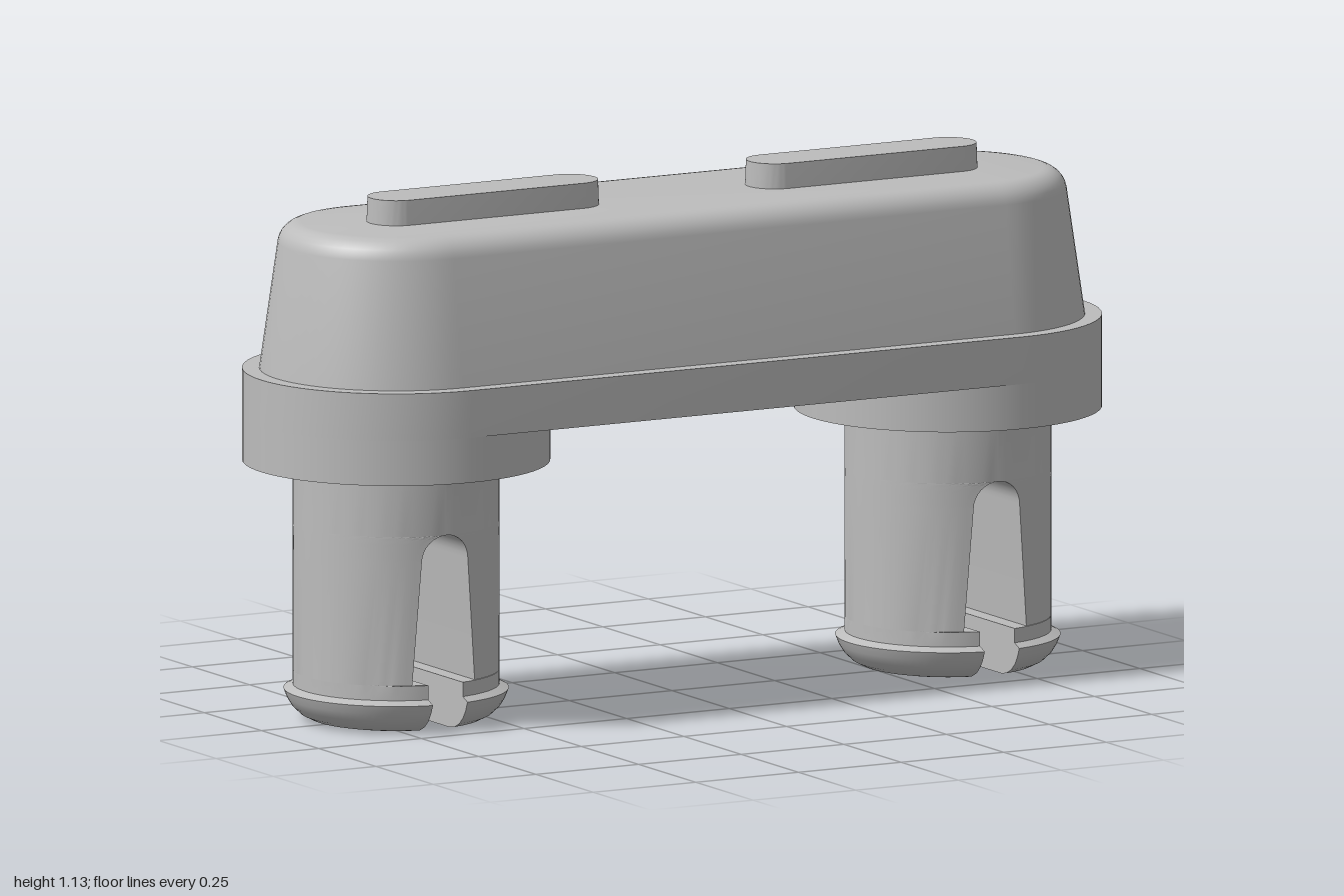
import * as THREE from 'three';
import { toCreasedNormals } from 'three/addons/utils/BufferGeometryUtils.js';

// Closed solid from convex rings of [x, y, z], bottom to top, counter-clockwise from above
function loft(rings) {
  const n = rings[0].length, index = [];
  for (let j = 0; j < rings.length - 1; j++) {
    for (let i = 0; i < n; i++) {
      const a = j * n + i, b = j * n + (i + 1) % n;
      index.push(a, b, b + n, a, b + n, a + n);
    }
  }
  const top = (rings.length - 1) * n;
  for (let i = 1; i < n - 1; i++) {
    index.push(0, i + 1, i, top, top + i, top + i + 1);
  }
  const g = new THREE.BufferGeometry();
  g.setAttribute('position', new THREE.Float32BufferAttribute(rings.flat(2), 3));
  g.setIndex(index);
  return toCreasedNormals(g, 0.55);
}

// Rounded-end bar outline: half length of the straight part, end radius, height
function stadium(half, r, y, seg = 32) {
  const ring = [];
  for (const side of [1, -1]) {
    for (let i = 0; i <= seg; i++) {
      const t = -Math.PI / 2 + Math.PI * i / seg;
      ring.push([side * (half + r * Math.cos(t)), y, -side * r * Math.sin(t)]);
    }
  }
  return ring;
}

// Circle of radius r cut off by a straight line at x = s
function cutCircle(y, r, s, seg = 36) {
  const a = Math.acos(s / r), ring = [];
  for (let i = 0; i <= seg; i++) {
    const t = -a + 2 * a * i / seg;
    ring.push([r * Math.cos(t), y, -r * Math.sin(t)]);
  }
  return ring;
}

export function createModel() {
  const model = new THREE.Group();
  const grey = new THREE.MeshStandardMaterial({ color: 0xbcbcbc });
  grey.name = 'grey plastic';
  const add = (parent, name, geometry) => {
    const mesh = new THREE.Mesh(geometry, grey);
    mesh.name = name;
    parent.add(mesh);
    return mesh;
  };

  const postX = 0.672;

  // Rim and tapered body with a rounded top edge
  add(model, 'rim', loft([stadium(postX, 0.328, 0.655), stadium(postX, 0.328, 0.757)]));
  const body = [stadium(postX, 0.292, 0.755)];
  for (let i = 0; i <= 6; i++) {
    const t = 0.14 + (Math.PI / 2 - 0.14) * i / 6;
    body.push(stadium(postX, 0.203 + 0.05 * Math.cos(t), 1.023 + 0.05 * Math.sin(t)));
  }
  add(model, 'body', loft(body));

  // Split post profile: height, radius, half width of the slot
  const profile = [
    [0, 0.165, 0.042], [0.004, 0.185, 0.042], [0.014, 0.205, 0.042],
    [0.03, 0.222, 0.042], [0.048, 0.233, 0.042], [0.066, 0.24, 0.042],
    [0.075, 0.22, 0.042], [0.106, 0.22, 0.042], [0.107, 0.22, 0.076]
  ];
  for (let i = 0; i <= 8; i++) {
    const t = Math.PI / 2 * i / 8;
    profile.push([0.372 + 0.056 * Math.sin(t), 0.22, 0.056 * Math.cos(t)]);
  }
  profile.push([0.56, 0.22, 0]);
  const halfPost = loft(profile.map(([y, r, s]) => cutCircle(y, r, s)));

  for (const side of [1, -1]) {
    const label = side > 0 ? 'left' : 'right';

    // Raised pad on top
    const pad = add(model, label + 'Pad', loft([
      stadium(0.211, 0.063, 1.07), stadium(0.211, 0.061, 1.127)
    ]));
    pad.position.x = side * 0.461;

    // Collar and snap-in post
    const leg = new THREE.Group();
    leg.name = label + 'Leg';
    leg.position.x = side * postX;
    model.add(leg);
    const collar = add(leg, 'collar', new THREE.CylinderGeometry(0.328, 0.328, 0.097, 64));
    collar.position.y = 0.6065;
    add(leg, 'outerPostHalf', halfPost);
    add(leg, 'innerPostHalf', halfPost).rotation.y = Math.PI;
  }
  return model;
}
